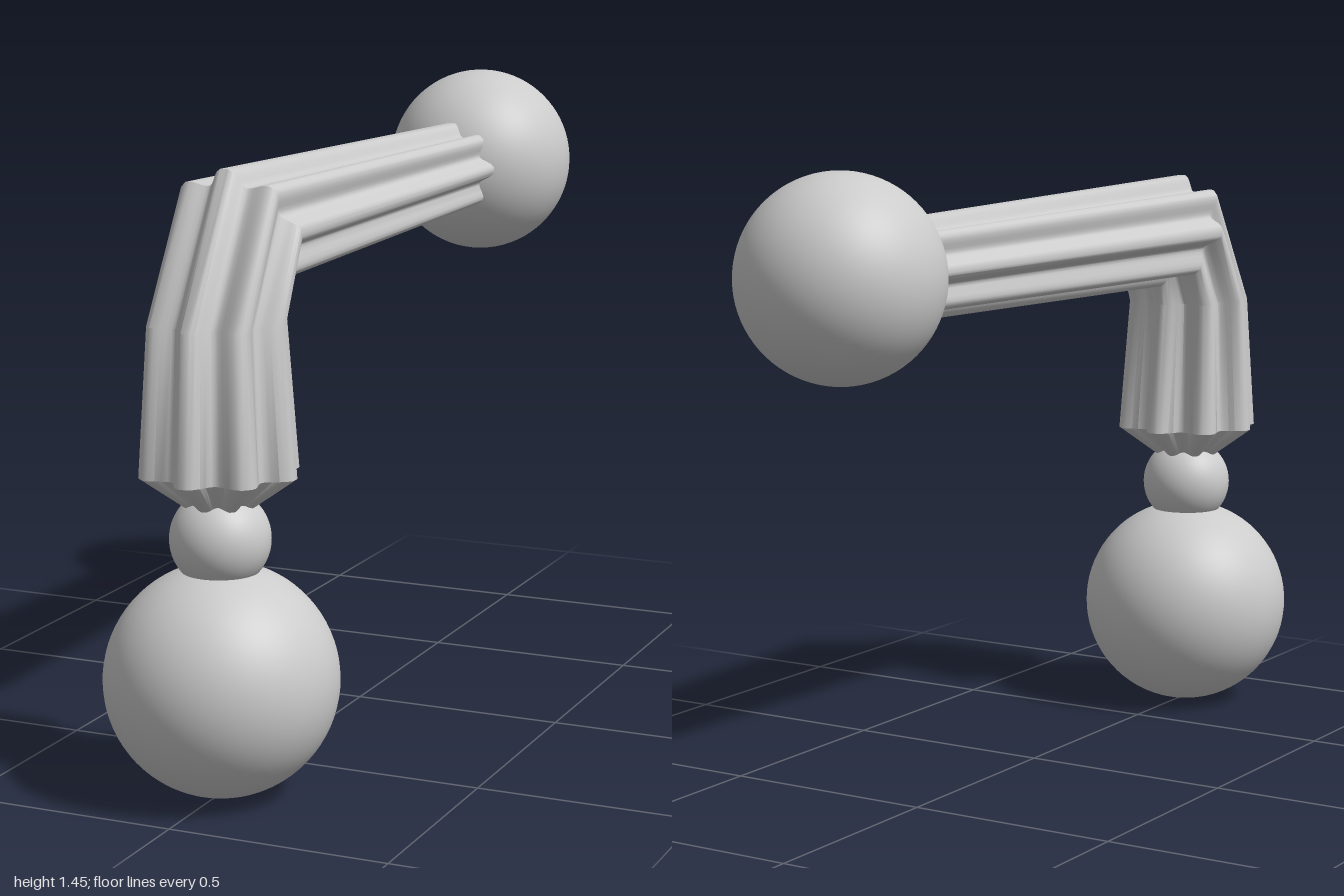
import * as THREE from 'three';
import { toCreasedNormals } from 'three/addons/utils/BufferGeometryUtils.js';

const material = new THREE.MeshStandardMaterial({ color: 0xcccccc });

function ball(name, radius, y, z) {
  const mesh = new THREE.Mesh(new THREE.SphereGeometry(radius, 64, 40), material);
  mesh.name = name;
  mesh.position.set(0, y, z);
  return mesh;
}

// Fluted sleeve: eight ridges with narrow flat crests and rounded valleys.
// Each ring: outer and inner point in the z/y plane, and half width along x.
function flutedSleeve(rings) {
  const ridges = 8, steps = 12, sides = ridges * steps;
  const positions = [], index = [];
  for (const [oz, oy, iz, iy, width] of rings) {
    const cy = (oy + iy) / 2, cz = (oz + iz) / 2;
    for (let j = 0; j < sides; j++) {
      const a = (j / sides) * Math.PI * 2;
      const wave = Math.min(1, (1 + Math.cos(a * ridges)) / 1.8);
      const k = 0.76 + 0.24 * wave;
      positions.push(
        Math.sin(a) * width * k,
        cy + (oy - cy) * Math.cos(a) * k,
        cz + (oz - cz) * Math.cos(a) * k
      );
    }
  }
  for (let i = 0; i < rings.length - 1; i++) {
    for (let j = 0; j < sides; j++) {
      const n = (j + 1) % sides;
      const a = i * sides + j, b = i * sides + n;
      const c = b + sides, d = a + sides;
      index.push(a, b, c, a, c, d);
    }
  }
  const geometry = new THREE.BufferGeometry();
  geometry.setAttribute('position', new THREE.Float32BufferAttribute(positions, 3));
  geometry.setIndex(index);
  return toCreasedNormals(geometry, 0.7);
}

export function createModel() {
  const model = new THREE.Group();
  model.name = 'crankHandle';

  // Bottom knob, neck bead and far end knob
  model.add(ball('lowerKnob', 0.257, 0.257, 0.745));
  model.add(ball('neckBead', 0.11, 0.57, 0.745));
  model.add(ball('endKnob', 0.228, 1.218, -0.772));

  // Bent arm: tapered foot, upright, elbow, long horizontal run
  const arm = new THREE.Mesh(flutedSleeve([
    [0.775, 0.63, 0.715, 0.63, 0.03],
    [0.825, 0.645, 0.665, 0.645, 0.08],
    [0.922, 0.715, 0.57, 0.715, 0.178],
    [0.9, 1.04, 0.6, 1.04, 0.155],
    [0.71, 1.36, 0.585, 1.088, 0.15],
    [-0.66, 1.328, -0.66, 1.105, 0.11],
  ]), material);
  arm.name = 'flutedArm';
  model.add(arm);

  return model;
}
